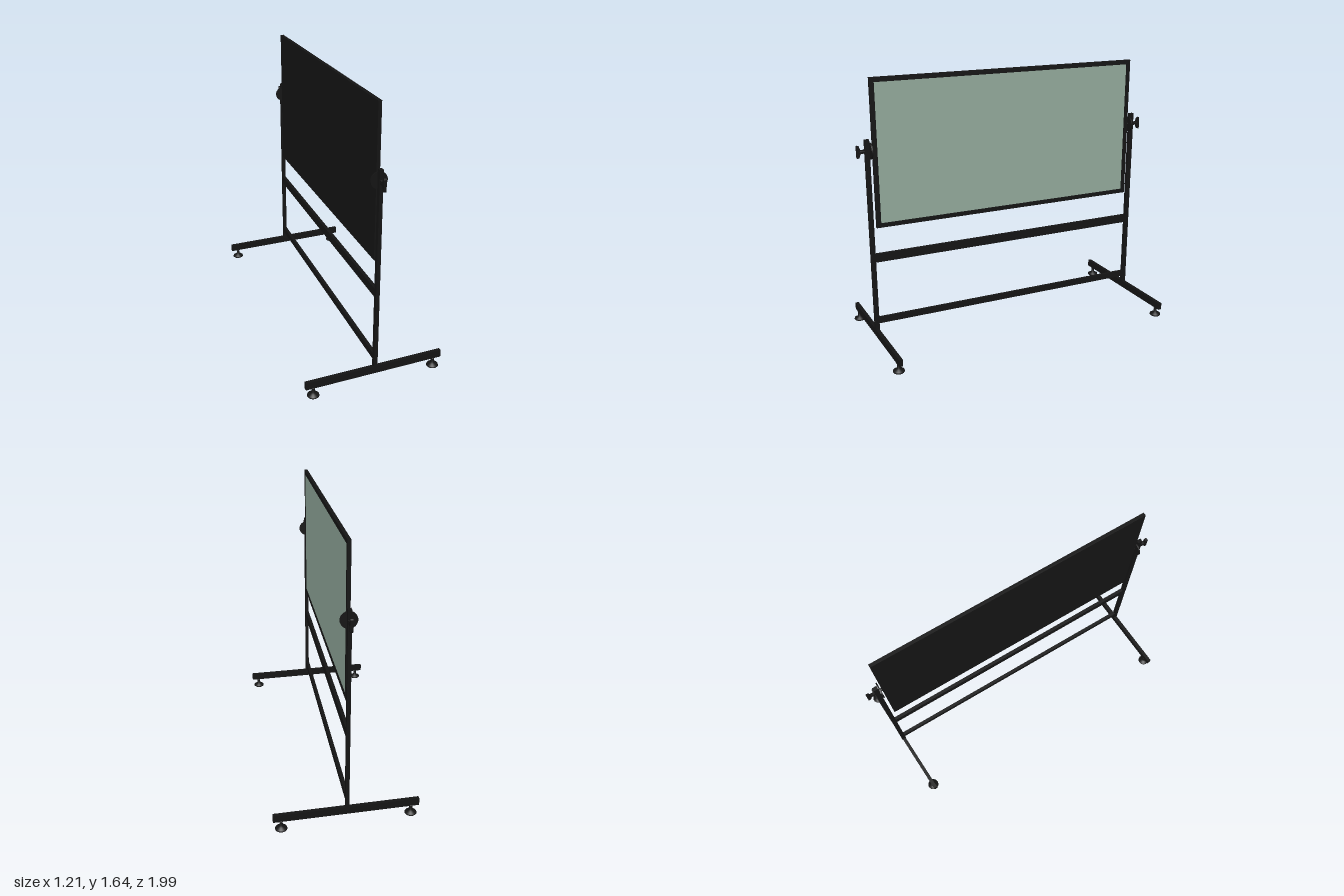
import * as THREE from 'three';

const BLACK = new THREE.MeshStandardMaterial({ color: 0x141414 });
const GREEN = new THREE.MeshStandardMaterial({ color: 0x92a99b });

function add(parent, name, geometry, position = [0, 0, 0], material = BLACK) {
  const mesh = new THREE.Mesh(geometry, material);
  mesh.name = name;
  mesh.position.set(...position);
  parent.add(mesh);
  return mesh;
}

const box = (x, y, z) => new THREE.BoxGeometry(x, y, z);

// Outline of a rectangle centred on the origin
function rectangle(Type, w, h) {
  return new Type([[-w, -h], [w, -h], [w, h], [-w, h]].map(([x, y]) => new THREE.Vector2(x / 2, y / 2)));
}

// Writing board: rim, flat back and recessed green writing surface
function makeBoard() {
  const board = new THREE.Group();
  board.name = 'board';
  const w = 1.70, h = 0.885, rim = 0.027;
  const outline = rectangle(THREE.Shape, w, h);
  outline.holes.push(rectangle(THREE.Path, w - 2 * rim, h - 2 * rim));
  const frame = new THREE.ExtrudeGeometry(outline, { depth: 0.02, bevelEnabled: false });
  frame.translate(0, 0, -0.01).rotateY(Math.PI / 2);
  add(board, 'boardFrame', frame);
  add(board, 'boardBack', box(0.008, h - 2 * rim, w - 2 * rim), [-0.006, 0, 0]);
  add(board, 'writingSurface', box(0.009, h - 2 * rim, w - 2 * rim), [0.0025, 0, 0], GREEN);
  board.position.y = 1.1975;
  return board;
}

// Foot bar with two levelling pads
function makeFoot() {
  const foot = new THREE.Group();
  foot.name = 'foot';
  add(foot, 'footBar', box(0.842, 0.044, 0.022), [0, 0.078, 0]);
  const profile = [[0, 0], [0.031, 0], [0.035, 0.005], [0.033, 0.012], [0.018, 0.02],
    [0.01, 0.028], [0.009, 0.05], [0.014, 0.058], [0, 0.058]].map(p => new THREE.Vector2(...p));
  for (const side of [-1, 1]) {
    add(foot, 'levellingPad', new THREE.LatheGeometry(profile, 24), [side * 0.375, 0, 0]);
  }
  return foot;
}

// Wing screw and pivot disc on the outside and inside of a post
function makePivot() {
  const pivot = new THREE.Group();
  pivot.name = 'pivot';
  const disc = new THREE.CylinderGeometry(0.048, 0.048, 0.008, 32).rotateX(Math.PI / 2);
  add(pivot, 'pivotDisc', disc, [0, 0, 0.861]);
  const pin = new THREE.CylinderGeometry(0.009, 0.009, 0.08, 16).rotateX(Math.PI / 2);
  add(pivot, 'pivotPin', pin, [0, 0, 0.885]);
  // Profile in (outward, up), widening towards the tip
  const half = [[0, 0.015], [0.012, 0.009], [0.028, 0.012], [0.035, 0.034], [0.047, 0.038], [0.05, 0.03]];
  const lower = half.map(([x, y]) => [x, -y]).reverse();
  const wing = new THREE.Shape([...half, ...lower].map(p => new THREE.Vector2(...p)));
  const geometry = new THREE.ExtrudeGeometry(wing, { depth: 0.016, bevelEnabled: false });
  geometry.translate(0, 0, -0.008).rotateY(-Math.PI / 2);
  add(pivot, 'wingScrew', geometry, [0, 0, 0.893]);
  pivot.position.y = 1.222;
  return pivot;
}

export function createModel() {
  const model = new THREE.Group();
  model.name = 'mobileBoard';
  const stand = new THREE.Group();
  stand.name = 'stand';
  stand.rotation.y = THREE.MathUtils.degToRad(13);
  model.add(stand);

  stand.add(makeBoard());

  // Cross rails between the posts
  add(stand, 'upperRail', box(0.02, 0.052, 1.74), [0, 0.566, 0]);
  add(stand, 'lowerRail', box(0.02, 0.038, 1.74), [0, 0.159, 0]);

  // Matching ends, turned half round the middle
  for (const turn of [0, Math.PI]) {
    const end = new THREE.Group();
    end.name = 'standEnd';
    end.rotation.y = turn;
    add(end, 'post', box(0.021, 1.205, 0.028), [0, 0.6875, 0.881]);
    const foot = makeFoot();
    foot.position.z = 0.881;
    foot.rotation.y = THREE.MathUtils.degToRad(3);
    end.add(foot, makePivot());
    stand.add(end);
  }
  return model;
}
